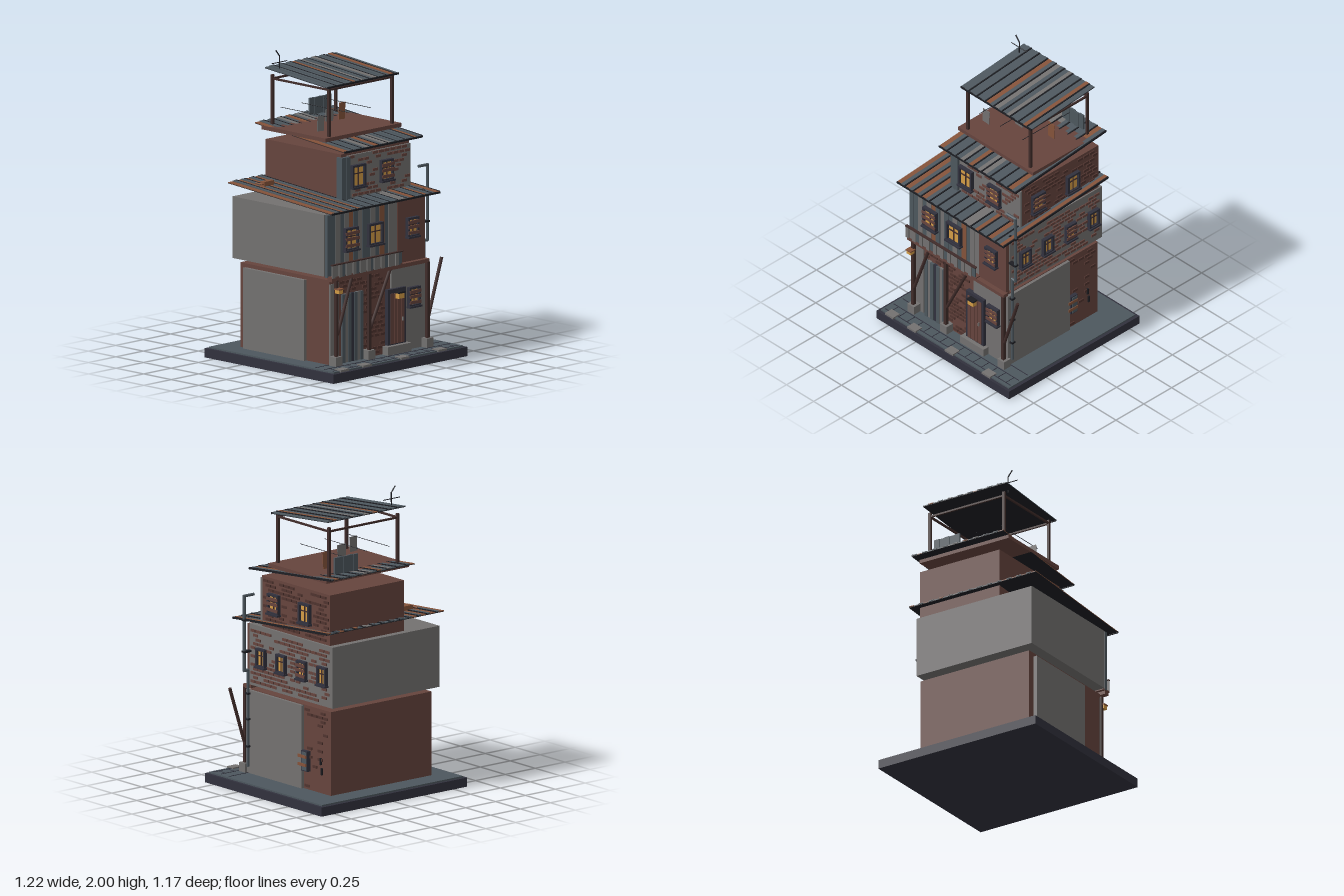
import * as THREE from 'three';
import { mergeGeometries } from 'three/addons/utils/BufferGeometryUtils.js';

const mat = (name, color) => Object.assign(new THREE.MeshStandardMaterial({ color }), { name });
const M = {
  navy: mat('dark navy', 0x31313d), slate: mat('slate metal', 0x4d575e),
  grey: mat('concrete', 0x737170), brick: mat('brick red', 0x66443d),
  dark: mat('dark brick', 0x50342f), rust: mat('rusty metal', 0x85533a),
  black: mat('black', 0x1d1e23), amber: mat('amber light', 0xd39c46),
  wood: mat('dark wood', 0x402c2a),
};

let seed = 7;
const rnd = () => (seed = (seed * 16807) % 2147483647) / 2147483647;

function box(parent, name, m, w, h, d, x, y, z) {
  const mesh = new THREE.Mesh(new THREE.BoxGeometry(w, h, d), m);
  mesh.name = name;
  mesh.position.set(x, y, z);
  parent.add(mesh);
  return mesh;
}

// box given by its limits
const block = (p, name, m, x0, x1, y0, y1, z0, z1) =>
  box(p, name, m, x1 - x0, y1 - y0, z1 - z0, (x0 + x1) / 2, (y0 + y1) / 2, (z0 + z1) / 2);

// round rod through a list of points
function rod(parent, name, m, r, ...pts) {
  const path = new THREE.CurvePath();
  const v = pts.map(p => new THREE.Vector3(...p));
  for (let i = 1; i < v.length; i++) {
    const a = v[i - 1], b = v[i], len = a.distanceTo(b);
    const mesh = new THREE.Mesh(new THREE.CylinderGeometry(r, r, len + (v.length > 2 ? r : 0), 8), m);
    mesh.name = name;
    mesh.position.copy(a).add(b).multiplyScalar(0.5);
    mesh.quaternion.setFromUnitVectors(new THREE.Vector3(0, 1, 0), b.clone().sub(a).normalize());
    parent.add(mesh);
  }
}

// framed window on a wall group (local +z points out of the wall)
function windowUnit(wall, u, v, w, h, boarded) {
  const g = new THREE.Group();
  g.name = 'window';
  g.position.set(u, v, 0);
  wall.add(g);
  box(g, 'pane', M.amber, w - 0.02, h - 0.02, 0.008, 0, 0, 0.006);
  for (const s of [-1, 1]) {
    box(g, 'frameSide', M.navy, 0.014, h, 0.026, s * (w / 2 - 0.007), 0, 0.013);
    box(g, 'frameRail', M.navy, w, 0.014, 0.026, 0, s * (h / 2 - 0.007), 0.013);
  }
  box(g, 'muntin', M.wood, 0.006, h - 0.02, 0.008, 0, 0, 0.013);
  box(g, 'muntin', M.wood, w - 0.02, 0.006, 0.008, 0, h * 0.12, 0.013);
  box(g, 'sill', M.navy, w + 0.01, 0.012, 0.035, 0, -h / 2, 0.0175);
  if (boarded) for (const k of [-0.27, 0.02, 0.27]) {
    const b = box(g, 'board', M.brick, w, 0.02, 0.008, 0, k * h, 0.027);
    b.rotation.z = k * 0.12;
  }
}

// loose brick courses as thin tiles, skipping the openings [u, v, w, h]
function bricks(wall, m, u0, u1, v0, v1, fill, openings) {
  const list = [], pu = 0.053, pv = 0.028;
  for (let r = 0, v = v0 + pv / 2; v < v1 - 0.01; v += pv, r++)
    for (let u = u0 + pu / 2 + (r % 2) * pu / 2; u < u1 - pu / 2 + 0.004; u += pu) {
      if (rnd() > fill) continue;
      if (openings.some(o => Math.abs(u - o[0]) < o[2] / 2 + 0.02 && Math.abs(v - o[1]) < o[3] / 2 + 0.01)) continue;
      list.push(new THREE.BoxGeometry(0.044, 0.017, 0.008).translate(u, v, 0.003));
    }
  const mesh = new THREE.Mesh(mergeGeometries(list), m);
  mesh.name = 'bricks';
  wall.add(mesh);
}

// sloping roof of metal strips; low front edge, high back edge
function tinRoof(parent, name, x0, x1, zF, yF, zB, yB, code) {
  const g = new THREE.Group();
  g.name = name;
  g.position.set(0, (yF + yB) / 2, (zF + zB) / 2);
  g.rotation.x = Math.atan2(yB - yF, zF - zB);
  parent.add(g);
  const n = code.length, p = (x1 - x0) / n, len = Math.hypot(yB - yF, zF - zB);
  [...code].forEach((c, i) => {
    const m = { s: M.slate, g: M.grey, r: M.rust }[c], x = x0 + p * (i + 0.5);
    box(g, 'sheet', m, p * 0.98, 0.005, len, x, i % 2 ? 0.004 : 0, 0);
    if (i % 2) box(g, 'rib', M.black, 0.009, 0.01, len, x + p / 2 - 0.004, 0.003, 0);
  });
  box(g, 'underside', M.black, x1 - x0, 0.003, len, (x0 + x1) / 2, -0.004, 0);
  box(g, 'frontLip', M.black, x1 - x0, 0.012, 0.008, (x0 + x1) / 2, -0.002, len / 2);
}

// wall groups: local x runs along the wall
function wall(parent, name, x, z, side) {
  const g = new THREE.Group();
  g.name = name;
  g.position.set(x, 0, z);
  if (side) g.rotation.y = Math.PI / 2;
  parent.add(g);
  return g;
}

export function createModel() {
  const G = new THREE.Group();
  G.name = 'stackedHouse';

  // base and pavement
  block(G, 'base', M.navy, -0.61, 0.61, 0, 0.06, -0.585, 0.585);
  block(G, 'ground', M.slate, -0.59, 0.59, 0.06, 0.07, -0.565, 0.565);
  for (const z of [0.385, 0.465, 0.54]) box(G, 'groove', M.navy, 1.15, 0.003, 0.005, 0, 0.071, z);
  for (let i = 0; i < 15; i++) box(G, 'groove', M.navy, 0.004, 0.003, 0.07, -0.53 + i * 0.076, 0.071, 0.505);
  for (const x of [-0.5, -0.295, 0.05, 0.39]) box(G, 'pavingStone', M.grey, 0.075, 0.014, 0.06, x, 0.071, 0.55);

  // ground floor
  block(G, 'groundFloor', M.brick, -0.45, 0.395, 0.07, 0.625, -0.42, 0.39);
  block(G, 'rightPlaster', M.grey, 0.39, 0.415, 0.07, 0.62, -0.15, 0.405);
  block(G, 'leftPlaster', M.grey, -0.475, -0.449, 0.07, 0.6, -0.37, 0.18);
  block(G, 'frontPlaster', M.grey, 0.1, 0.41, 0.07, 0.62, 0.385, 0.405);
  block(G, 'cornerPlaster', M.grey, -0.45, -0.37, 0.07, 0.6, 0.385, 0.396);
  const gf = wall(G, 'groundFront', 0, 0.39);
  bricks(gf, M.dark, -0.37, 0.05, 0.08, 0.62, 0.75, [[-0.255, 0.3, 0.2, 0.46]]);
  [...'sgsbsgs'].forEach((c, i) => box(gf, 'shutterSlat', { s: M.slate, g: M.grey, b: M.navy }[c],
    0.027, 0.45, 0.014, -0.337 + i * 0.027, 0.295, i % 2 ? 0.006 : 0.012));
  const door = new THREE.Group();
  door.name = 'door';
  door.position.set(0.13, 0.31, 0.4);
  G.add(door);
  box(door, 'doorFrame', M.navy, 0.165, 0.365, 0.03, 0, 0, 0.01);
  for (let i = 0; i < 4; i++) box(door, 'doorPlank', M.brick, 0.028, 0.33, 0.008, -0.048 + i * 0.032, -0.01, 0.026);
  box(door, 'handle', M.grey, 0.008, 0.025, 0.012, 0.045, -0.02, 0.033);
  box(door, 'doorLamp', M.amber, 0.05, 0.035, 0.03, 0, 0.14, 0.05);
  box(door, 'lampCap', M.black, 0.06, 0.01, 0.04, 0, 0.162, 0.05);
  block(G, 'doorStep', M.grey, 0.02, 0.235, 0.07, 0.125, 0.4, 0.45);
  windowUnit(wall(G, 'plasterFront', 0, 0.405), 0.29, 0.415, 0.1, 0.13, true);

  // side meter box and vents
  const gr = wall(G, 'groundRight', 0.395, 0, true);
  bricks(gr, M.dark, 0.16, 0.41, 0.08, 0.62, 0.2, []);
  box(gr, 'meterBox', M.navy, 0.06, 0.135, 0.026, 0.185, 0.26, 0.013);
  box(gr, 'meterDoor', M.slate, 0.046, 0.12, 0.006, 0.185, 0.26, 0.028);
  for (const y of [0.235, 0.29]) box(gr, 'meterStrap', M.rust, 0.08, 0.02, 0.006, 0.17, y, 0.032);
  for (const [u, y] of [[0.325, 0.28], [0.335, 0.215]]) box(gr, 'vent', M.black, 0.013, 0.045, 0.01, u, y, 0.005);

  // porch posts, beam and braces
  for (const [x, dx, dy] of [[-0.43, 0.14, 0.63], [-0.13, 0.19, 0.63], [0.4, 0.13, 0.64]]) {
    box(G, 'postFoot', M.grey, 0.06, 0.06, 0.06, x, 0.1, 0.425);
    box(G, 'post', M.wood, 0.022, 0.51, 0.022, x, 0.375, 0.43);
    rod(G, 'brace', M.wood, 0.011, [x + 0.01, 0.27, 0.43], [x + dx, dy, 0.43]);
  }
  block(G, 'porchBeam', M.brick, -0.48, 0.41, 0.625, 0.65, 0.4, 0.44);
  box(G, 'lantern', M.amber, 0.035, 0.025, 0.035, -0.43, 0.56, 0.455);
  box(G, 'lanternCap', M.rust, 0.045, 0.008, 0.045, -0.43, 0.576, 0.455);

  // second floor
  block(G, 'secondFloor', M.grey, -0.49, 0.405, 0.655, 1.06, -0.45, 0.38);
  block(G, 'brickBay', M.brick, 0.15, 0.4, 0.63, 1.055, 0.375, 0.408);
  [...'ssgsgrsgssgsrsgg'].forEach((c, i) => box(G, 'wallSheet', { s: M.slate, g: M.grey, r: M.rust }[c],
    0.04, 0.41, 0.02, -0.47 + i * 0.04, 0.855, i % 2 ? 0.393 : 0.398));
  for (let i = 0; i < 20; i++)
    box(G, 'balconySlat', i % 4 === 3 ? M.slate : M.grey, 0.028, 0.085, 0.01, -0.47 + i * 0.032, 0.693, i % 2 ? 0.44 : 0.445);
  block(G, 'balconyFloor', M.brick, -0.485, 0.16, 0.648, 0.658, 0.38, 0.445);
  block(G, 'balconyRail', M.wood, -0.485, 0.16, 0.733, 0.74, 0.432, 0.452);
  const f2 = wall(G, 'secondFront', 0, 0.408);
  windowUnit(f2, -0.285, 0.88, 0.12, 0.15, true);
  windowUnit(f2, -0.065, 0.88, 0.13, 0.145, false);
  windowUnit(f2, 0.275, 0.875, 0.1, 0.13, true);
  const r2 = wall(G, 'secondRight', 0.405, 0, true);
  const open2 = [-0.25, -0.05, 0.155, 0.36].map(u => [u, 0.855, 0.09, 0.125]);
  open2.forEach((o, i) => windowUnit(r2, ...o, i === 2));
  bricks(r2, M.brick, -0.37, 0.44, 0.67, 1.055, 0.72, open2);

  // third floor
  block(G, 'thirdFloor', M.brick, -0.22, 0.4, 1.065, 1.4, -0.42, 0.265);
  block(G, 'thirdFrontPlaster', M.grey, -0.17, 0.4, 1.07, 1.385, 0.26, 0.278);
  for (let i = 0; i < 2; i++) box(G, 'cornerSheet', M.slate, 0.036, 0.3, 0.05, -0.217 + i * 0.036, 1.23, 0.262 + i * 0.006);
  const f3 = wall(G, 'thirdFront', 0, 0.278);
  const open3 = [[-0.09, 1.245, 0.12, 0.15], [0.17, 1.245, 0.11, 0.14]];
  open3.forEach((o, i) => windowUnit(f3, ...o, i === 1));
  bricks(f3, M.brick, -0.165, 0.4, 1.08, 1.385, 0.6, open3);
  const r3 = wall(G, 'thirdRight', 0.4, 0, true);
  const open4 = [[-0.13, 1.235, 0.11, 0.135], [0.18, 1.235, 0.11, 0.135]];
  open4.forEach((o, i) => windowUnit(r3, ...o, i === 0));
  bricks(r3, M.dark, -0.25, 0.41, 1.08, 1.39, 0.7, open4);

  // tin roofs
  tinRoof(G, 'lowerRoof', -0.525, 0.46, 0.485, 1.085, -0.455, 1.155, 'rsrsrsrsssssssssggsrssrssr');
  tinRoof(G, 'middleRoof', -0.275, 0.435, 0.35, 1.435, -0.46, 1.51, 'rssssgsrsggsssssrs');
  tinRoof(G, 'topRoof', -0.255, 0.395, 0.175, 1.83, -0.39, 1.88, 'ssssssrsgssgsssrs');
  box(G, 'roofCrate', M.rust, 0.09, 0.03, 0.035, -0.375, 1.16, -0.25);
  rod(G, 'roofPipe', M.rust, 0.005, [-0.43, 1.16, -0.3], [-0.43, 1.16, -0.24], [-0.34, 1.16, -0.24]);

  // roof terrace
  block(G, 'terrace', M.brick, -0.275, 0.415, 1.475, 1.5, -0.4, 0.18);
  for (const x of [-0.215, 0.36]) {
    for (const z of [0.15, -0.36]) box(G, 'terracePost', M.wood, 0.018, 0.335, 0.018, x, 1.665, z);
    box(G, 'sideRail', M.wood, 0.012, 0.012, 0.51, x, 1.806, -0.105);
  }
  for (const z of [0.15, -0.36]) box(G, 'crossRail', M.wood, 0.575, 0.012, 0.012, 0.0725, 1.806, z);
  for (let i = 0; i < 5; i++) box(G, 'windScreen', M.slate, 0.039, 0.11, 0.012, 0.145 + i * 0.039, 1.57, i % 2 ? -0.36 : -0.366);
  for (const [x, w, h, z, m] of [[-0.17, 0.06, 0.1, 0.03, M.grey], [0.02, 0.07, 0.08, -0.08, M.grey], [0.225, 0.055, 0.11, -0.17, M.rust]]) {
    rod(G, 'clothesLine', M.black, 0.002, [x, 1.615, -0.33], [x, 1.615, 0.09]);
    box(G, 'laundry', m, w, h, 0.004, x, 1.612 - h / 2, z).rotation.z = -0.05;
  }

  // aerial
  rod(G, 'aerialMast', M.black, 0.004, [-0.21, 1.85, -0.305], [-0.207, 1.96, -0.305], [-0.24, 2, -0.305]);
  rod(G, 'aerialBar', M.black, 0.003, [-0.28, 1.92, -0.305], [-0.14, 1.92, -0.305]);

  // drain pipe with brackets
  rod(G, 'drainPipe', M.slate, 0.01, [0.38, 1.25, 0.375], [0.455, 1.25, 0.375], [0.455, 0.755, 0.375],
    [0.425, 0.755, 0.375], [0.425, 0.12, 0.375]);
  for (const y of [0.25, 0.43, 0.6]) box(G, 'pipeBracket', M.black, 0.03, 0.012, 0.03, 0.423, y, 0.375);
  for (const y of [0.88, 1.09]) box(G, 'pipeBracket', M.black, 0.06, 0.012, 0.03, 0.435, y, 0.375);
  return G;
}
